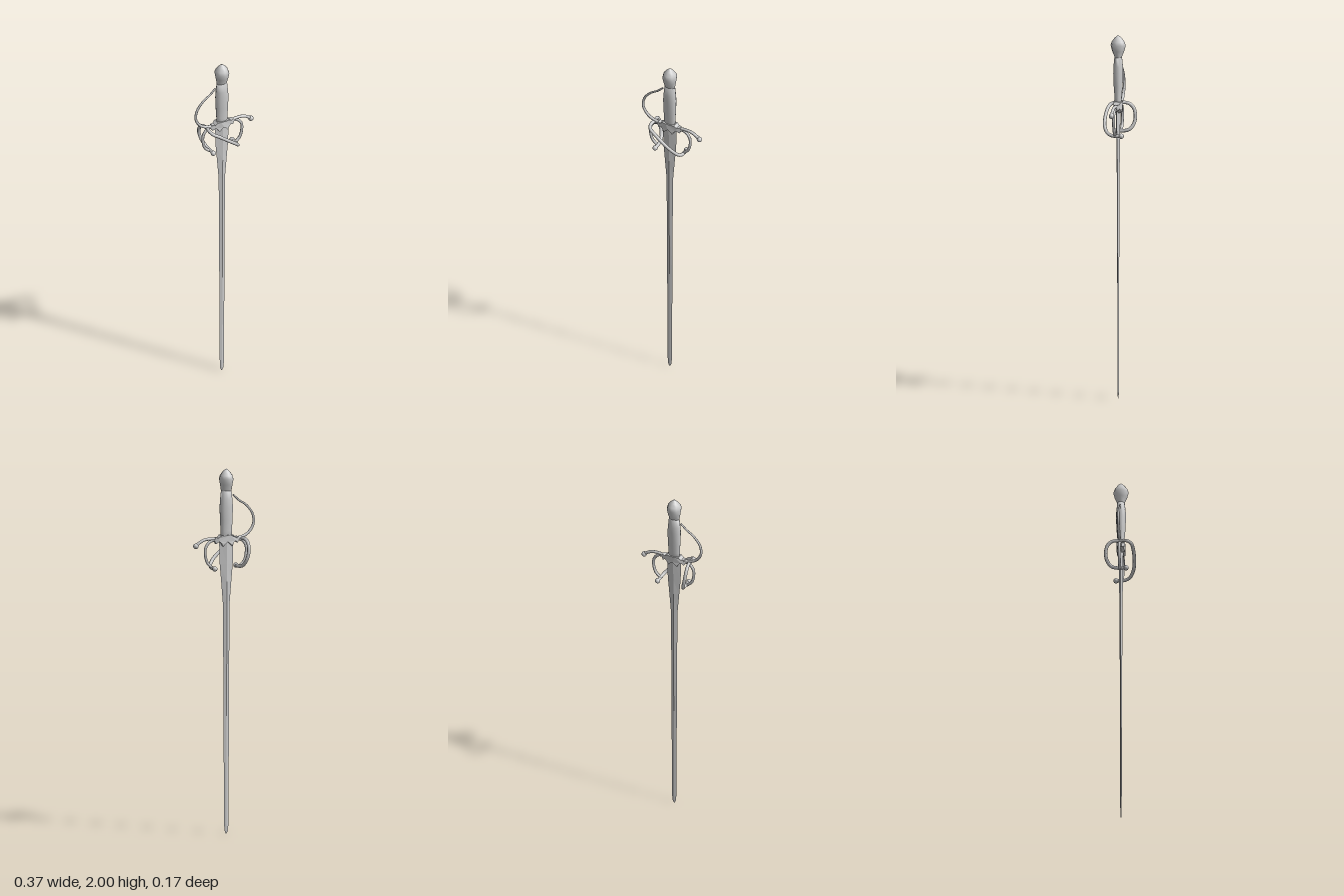
import * as THREE from 'three';

const CX = -0.013; // axis of blade, grip and pommel
const steel = new THREE.MeshStandardMaterial({ color: 0xcccccc, side: THREE.DoubleSide });
const flatSteel = new THREE.MeshStandardMaterial({ color: 0xcccccc, side: THREE.DoubleSide, flatShading: true });

function add(parent, name, geometry, material = steel) {
  const mesh = new THREE.Mesh(geometry, material);
  mesh.name = name;
  parent.add(mesh);
  return mesh;
}

// Lofts elliptical rings [y, halfWidth, halfDepth], listed from bottom to top
function loft(rings, sides) {
  const pos = [], index = [];
  for (const [y, w, d] of rings) {
    for (let i = 0; i < sides; i++) {
      const a = (i / sides) * Math.PI * 2;
      pos.push(CX + w * Math.cos(a), y, d * Math.sin(a));
    }
  }
  for (let r = 0; r < rings.length - 1; r++) {
    for (let i = 0; i < sides; i++) {
      const j = (i + 1) % sides, a = r * sides, b = a + sides;
      index.push(a + i, b + i, b + j, a + i, b + j, a + j);
    }
  }
  const top = (rings.length - 1) * sides;
  for (let i = 1; i < sides - 1; i++) {
    index.push(0, i, i + 1, top, top + i + 1, top + i);
  }
  const g = new THREE.BufferGeometry();
  g.setAttribute('position', new THREE.Float32BufferAttribute(pos, 3));
  g.setIndex(index);
  g.computeVertexNormals();
  return g;
}

// Round bar along a smooth path; radius runs from r0 to r1, ends closed by small balls
function bar(parent, name, points, r0, r1 = r0) {
  const curve = new THREE.CatmullRomCurve3(points.map(p => new THREE.Vector3(...p)));
  const steps = 36, sides = 8;
  const g = new THREE.TubeGeometry(curve, steps, 1, sides, false);
  const p = g.attributes.position, v = new THREE.Vector3();
  for (let i = 0; i <= steps; i++) {
    const c = curve.getPointAt(i / steps), r = r0 + (r1 - r0) * i / steps;
    for (let j = 0; j <= sides; j++) {
      const k = i * (sides + 1) + j;
      v.fromBufferAttribute(p, k).sub(c).multiplyScalar(r).add(c);
      p.setXYZ(k, v.x, v.y, v.z);
    }
  }
  add(parent, name, g);
  knob(parent, name + 'Start', points[0], r0);
  knob(parent, name + 'End', points[points.length - 1], r1);
}

function knob(parent, name, at, r) {
  add(parent, name, new THREE.SphereGeometry(r, 10, 8)).position.set(...at);
}

export function createModel() {
  const sword = new THREE.Group();
  sword.name = 'sword';

  // Diamond-section blade with a broad shoulder
  add(sword, 'blade', loft([
    [0, 0.004, 0.001], [0.015, 0.01, 0.003], [0.05, 0.013, 0.004], [0.6, 0.016, 0.005],
    [1.0, 0.018, 0.007], [1.26, 0.02, 0.008], [1.38, 0.03, 0.01], [1.48, 0.039, 0.011],
    [1.62, 0.043, 0.013],
  ], 4), flatSteel);

  // Oval grip and faceted pommel
  add(sword, 'grip', loft([
    [1.61, 0.032, 0.018], [1.66, 0.034, 0.019], [1.72, 0.037, 0.024], [1.79, 0.039, 0.027],
    [1.83, 0.036, 0.026], [1.88, 0.031, 0.021],
  ], 12));
  add(sword, 'pommel', loft([
    [1.862, 0.029, 0.016], [1.885, 0.032, 0.021], [1.915, 0.037, 0.034], [1.945, 0.042, 0.042],
    [1.965, 0.036, 0.036], [1.985, 0.021, 0.021], [1.996, 0.009, 0.009], [2, 0.002, 0.002],
  ], 8));

  // Guard block: cusped outline, thinned towards both ends
  const half = [[0, 1.602], [0.013, 1.592], [0.026, 1.578], [0.037, 1.597], [0.048, 1.605],
    [0.064, 1.592], [0.074, 1.612], [0.066, 1.628], [0.05, 1.625], [0.035, 1.638], [0.015, 1.638]];
  const outline = [...half, ...half.slice(1).reverse().map(([x, y]) => [-x, y])];
  const shape = new THREE.Shape(outline.map(([x, y]) => new THREE.Vector2(x, y)));
  const block = new THREE.ExtrudeGeometry(shape, { depth: 2, bevelEnabled: false });
  const p = block.attributes.position;
  for (let i = 0; i < p.count; i++) {
    const t = Math.abs(p.getX(i)) / 0.075;
    p.setZ(i, (p.getZ(i) - 1) * (0.006 + 0.018 * (1 - t * t)));
  }
  block.translate(CX, 0, 0);
  block.computeVertexNormals();
  add(sword, 'guardBlock', block, flatSteel);

  // Quillon on the left, knuckle bow on the right
  bar(sword, 'quillon', [[0.04, 1.618, 0], [0.075, 1.621, 0], [0.115, 1.618, 0],
    [0.145, 1.605, 0], [0.168, 1.588, 0]], 0.008, 0.009);
  knob(sword, 'quillonKnob', [0.169, 1.586, 0], 0.015);
  bar(sword, 'knuckleBow', [[-0.07, 1.617, 0], [-0.105, 1.622, 0], [-0.145, 1.643, 0],
    [-0.175, 1.69, 0], [-0.17, 1.745, 0], [-0.13, 1.797, 0], [-0.09, 1.823, 0],
    [-0.056, 1.854, 0]], 0.009, 0.005);

  // Mirrored arms curving down beside the blade
  for (const [s, name] of [[1, 'leftArm'], [-1, 'rightArm']]) {
    bar(sword, name, [[0.055, 1.615], [0.098, 1.605], [0.122, 1.575], [0.125, 1.535],
      [0.112, 1.49], [0.083, 1.462]].map(([x, y]) => [CX + s * x * (s < 0 ? 0.95 : 1), y, 0]), 0.008);
  }

  // Front side ring sweeping diagonally across the blade
  bar(sword, 'frontRing', [[-0.105, 1.615, -0.005], [-0.111, 1.614, 0.035], [-0.1, 1.603, 0.061],
    [-0.07, 1.585, 0.07], [-0.02, 1.547, 0.073], [0.035, 1.502, 0.064], [0.063, 1.472, 0.042],
    [0.071, 1.461, 0.015], [0.071, 1.46, -0.033]], 0.0095);
  knob(sword, 'frontRingKnob', [0.071, 1.46, -0.034], 0.0145);

  // Back side ring
  bar(sword, 'backRing', [[-0.105, 1.615, 0.005], [-0.112, 1.612, -0.035], [-0.116, 1.59, -0.062],
    [-0.113, 1.545, -0.075], [-0.102, 1.5, -0.068], [-0.09, 1.471, -0.045],
    [-0.086, 1.463, -0.015], [-0.086, 1.462, 0.032]], 0.0095);
  knob(sword, 'backRingKnob', [-0.086, 1.462, 0.033], 0.0145);

  return sword;
}
